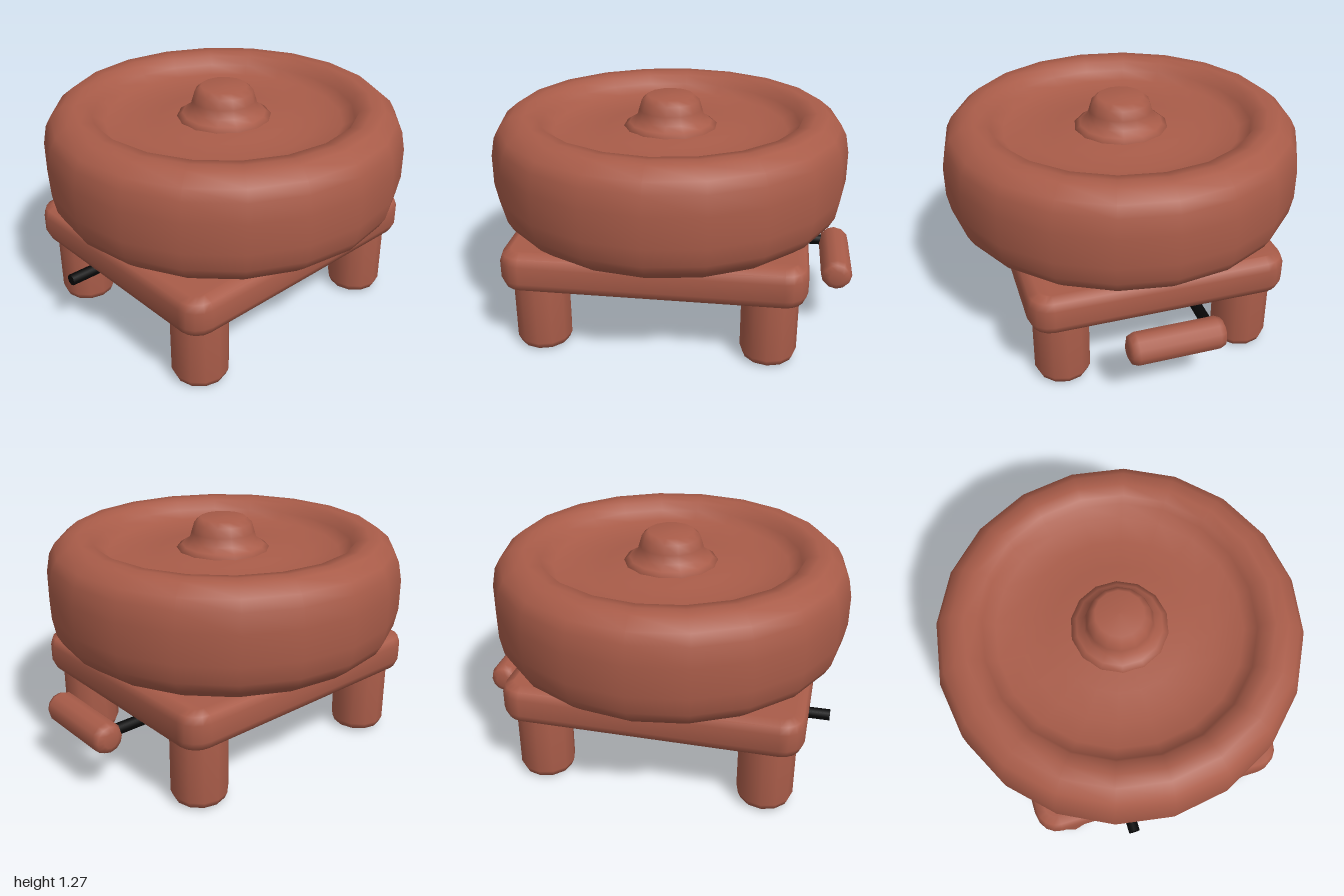
import * as THREE from 'three';

export function createModel() {
  const clay = new THREE.MeshStandardMaterial({ color: 0xa95c49 });
  clay.name = 'terracotta';
  const black = new THREE.MeshStandardMaterial({ color: 0x080808 });
  black.name = 'black';
  const model = new THREE.Group();
  model.name = 'wheelOnStand';

  const add = (name, geometry, material, x, y, z) => {
    const mesh = new THREE.Mesh(geometry, material);
    mesh.name = name;
    mesh.position.set(x, y, z);
    model.add(mesh);
    return mesh;
  };
  // Profiles are listed from bottom to top as [radius, height]
  const lathe = (points, sides) =>
    new THREE.LatheGeometry(points.map(([r, y]) => new THREE.Vector2(r, y)), sides);
  // Profile of an upper half, mirrored below its middle plane
  const mirroredLathe = (half, sides) =>
    lathe([...half.map(([r, y]) => [r, -y]).reverse(), ...half], sides);
  // Cylinder with softened ends, standing on its base
  const softCylinder = (r, h, bevel, sides) => lathe([
    [0, 0], [r - bevel, 0], [r - bevel * 0.3, bevel * 0.3], [r, bevel],
    [r, h - bevel], [r - bevel * 0.3, h - bevel * 0.3], [r - bevel, h], [0, h],
  ], sides);
  // Flat slab with round corners in plan; each layer is [inset, height]
  const softSlab = (width, depth, radius, layers) => {
    const steps = 4;
    const ring = 4 * (steps + 1);
    const positions = [];
    const index = [];
    for (const [inset, y] of layers) {
      for (let corner = 0; corner < 4; corner++) {
        const sx = corner === 0 || corner === 3 ? 1 : -1;
        const sz = corner < 2 ? 1 : -1;
        for (let i = 0; i <= steps; i++) {
          const a = (corner + i / steps) * Math.PI / 2;
          const r = radius - inset;
          positions.push(sx * (width / 2 - radius) + r * Math.cos(a), y,
            sz * (depth / 2 - radius) + r * Math.sin(a));
        }
      }
    }
    for (let l = 0; l < layers.length - 1; l++) {
      for (let i = 0; i < ring; i++) {
        const a = l * ring + i;
        const b = l * ring + (i + 1) % ring;
        index.push(a, a + ring, b, b, a + ring, b + ring);
      }
    }
    const top = (layers.length - 1) * ring;
    for (let i = 1; i < ring - 1; i++) {
      index.push(0, i, i + 1, top, top + i + 1, top + i);
    }
    const geometry = new THREE.BufferGeometry();
    geometry.setAttribute('position', new THREE.Float32BufferAttribute(positions, 3));
    geometry.setIndex(index);
    geometry.computeVertexNormals();
    return geometry;
  };

  // Fat wheel lying flat, dished alike above and below
  add('wheel', mirroredLathe([
    [0.969, 0.08], [0.95, 0.18], [0.92, 0.235], [0.855, 0.288], [0.79, 0.29],
    [0.725, 0.28], [0.705, 0.23], [0.64, 0.19], [0.5, 0.175], [0.35, 0.185],
    [0.22, 0.205], [0, 0.21],
  ], 20), clay, -0.032, 0.9, 0);

  // Stepped hub through the middle of the wheel
  add('hub', mirroredLathe([
    [0.25, 0.12], [0.255, 0.2], [0.225, 0.22], [0.185, 0.245],
    [0.172, 0.29], [0.157, 0.34], [0.125, 0.367], [0, 0.37],
  ], 14), clay, -0.03, 0.9, 0);

  // Stand: slab and four stubby legs
  add('slab', softSlab(1.6, 1.38, 0.12, [
    [0.07, 0.36], [0.02, 0.385], [0, 0.43], [0, 0.525], [0.015, 0.565], [0.06, 0.585],
  ]), clay, -0.05, 0, 0);
  for (const x of [-0.66, 0.56]) {
    for (const z of [-0.505, 0.505]) {
      add('leg', softCylinder(0.15, 0.42, 0.05, 12), clay, x, 0, z);
    }
  }

  // Thin axle under the slab
  const axle = add('axle', new THREE.CylinderGeometry(0.031, 0.031, 1.84, 8), black, -0.04, 0.355, -0.19);
  axle.rotation.z = Math.PI / 2;

  // Grip on the axle end, running front to back
  const grip = add('grip', softCylinder(0.085, 0.51, 0.045, 12), clay, 0.915, 0.345, -0.255);
  grip.rotation.x = Math.PI / 2;

  return model;
}
